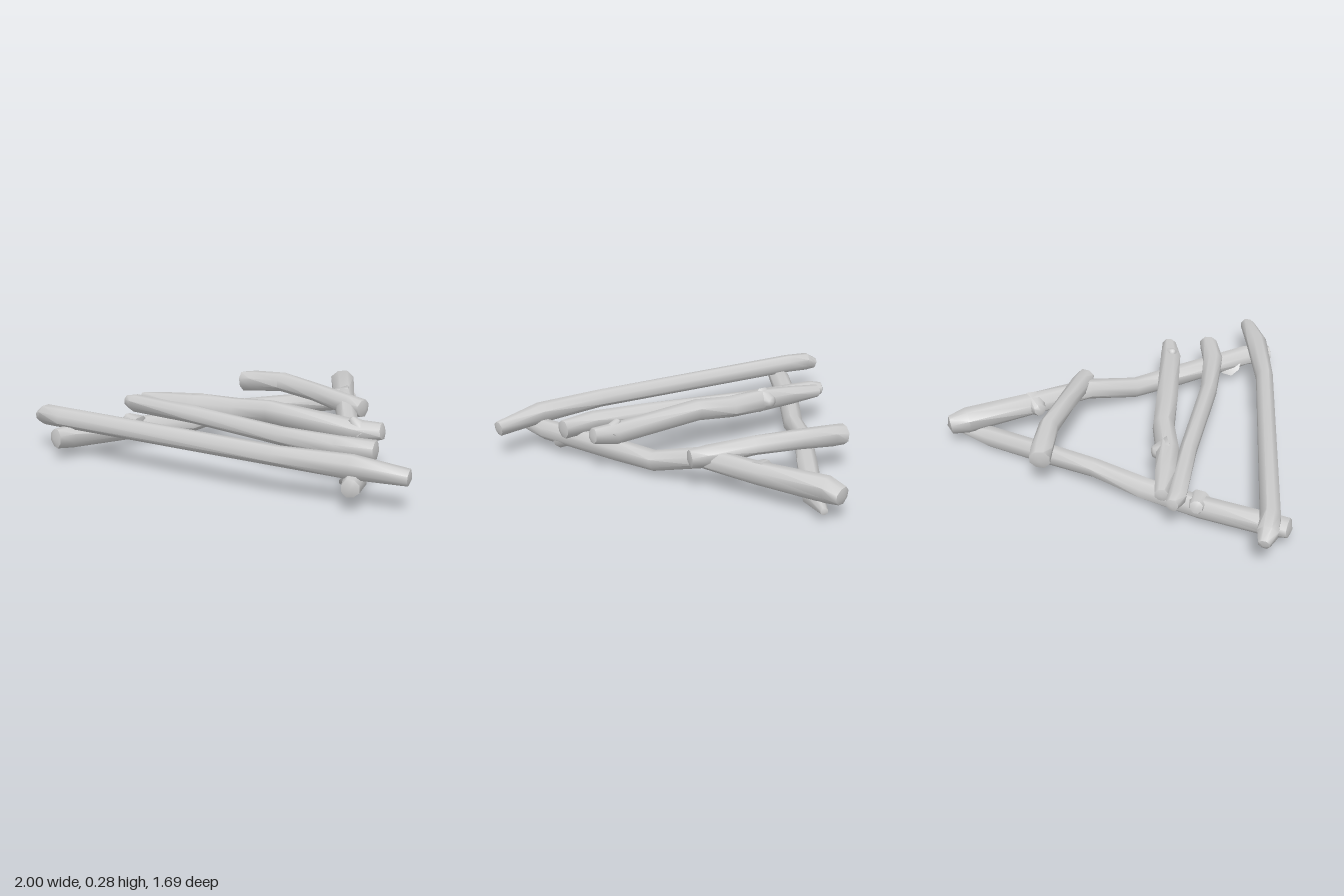
import * as THREE from 'three';
import { toCreasedNormals } from 'three/addons/utils/BufferGeometryUtils.js';

const SIDES = 8;

// Skin a branch with rings and blunt tips; each point is [x, y, z, radius]
function branchGeometry(points) {
  const centres = points.map(([x, y, z]) => new THREE.Vector3(x, y, z));
  const end = centres.length - 1;
  const tips = [centres[0].clone(), centres[end].clone()];
  const positions = [];
  const index = [];
  centres.forEach((c, i) => {
    const along = centres[Math.min(i + 1, end)].clone().sub(centres[Math.max(i - 1, 0)]).normalize();
    const side = along.clone().cross(new THREE.Vector3(0, 1, 0)).normalize();
    const lift = side.clone().cross(along);
    // Pull the end rings in so the tips finish at the given points
    const inset = i === 0 ? 0.35 : i === end ? -0.35 : 0;
    const middle = c.clone().addScaledVector(along, inset * points[i][3]);
    for (let j = 0; j < SIDES; j++) {
      const a = ((j + 0.5) / SIDES) * Math.PI * 2;
      const r = points[i][3] * (1.06 + 0.05 * Math.sin(j * 2.3 + i * 1.7));
      const p = middle.clone().addScaledVector(side, Math.cos(a) * r).addScaledVector(lift, Math.sin(a) * r);
      positions.push(p.x, p.y, p.z);
    }
  });
  for (const tip of tips) positions.push(tip.x, tip.y, tip.z);

  const last = end * SIDES;
  const startTip = last + SIDES;
  for (let j = 0; j < SIDES; j++) {
    const k = (j + 1) % SIDES;
    for (let ring = 0; ring < last; ring += SIDES) {
      const a = ring + j;
      const b = ring + k;
      index.push(a, a + SIDES, b, b, a + SIDES, b + SIDES);
    }
    index.push(startTip, j, k, startTip + 1, last + k, last + j);
  }
  const geometry = new THREE.BufferGeometry();
  geometry.setAttribute('position', new THREE.Float32BufferAttribute(positions, 3));
  geometry.setIndex(index);
  return toCreasedNormals(geometry, 0.9);
}

export function createModel() {
  const model = new THREE.Group();
  model.name = 'dragSled';
  const wood = new THREE.MeshStandardMaterial({ color: 0xcccccc });
  wood.name = 'paleGreyWood';

  const branches = {
    // Two long poles meeting at the back
    rightPole: [
      [-0.805, 0.11, 0.84, 0.045], [-0.77, 0.105, 0.75, 0.053], [-0.62, 0.085, 0.42, 0.053],
      [-0.47, 0.068, 0.16, 0.05], [-0.36, 0.10, -0.08, 0.045], [-0.20, 0.075, -0.35, 0.05],
      [-0.04, 0.05, -0.63, 0.05], [0.02, 0.055, -0.80, 0.018],
    ],
    leftPole: [
      [-0.06, 0.125, -0.845, 0.045], [-0.03, 0.14, -0.75, 0.062], [0.14, 0.14, -0.42, 0.054],
      [0.28, 0.15, -0.15, 0.05], [0.42, 0.08, 0.09, 0.05], [0.52, 0.09, 0.30, 0.053],
      [0.73, 0.11, 0.70, 0.05], [0.77, 0.11, 0.84, 0.04],
    ],
    // Crossbars laid over the poles, front to back
    frontBar: [
      [-1.0, 0.165, 0.695, 0.027], [-0.94, 0.185, 0.715, 0.047], [-0.82, 0.187, 0.735, 0.047],
      [0.38, 0.187, 0.78, 0.044], [0.74, 0.185, 0.755, 0.052], [1.0, 0.16, 0.715, 0.036],
    ],
    secondBar: [
      [-0.755, 0.18, 0.29, 0.03], [-0.69, 0.18, 0.315, 0.043], [-0.30, 0.18, 0.37, 0.041],
      [0.25, 0.18, 0.48, 0.042], [0.55, 0.18, 0.51, 0.05], [0.745, 0.18, 0.485, 0.045],
    ],
    thirdBar: [
      [-0.695, 0.19, 0.245, 0.032], [-0.52, 0.195, 0.26, 0.046], [-0.34, 0.20, 0.27, 0.056],
      [-0.13, 0.205, 0.25, 0.053], [0.07, 0.223, 0.265, 0.053], [0.54, 0.19, 0.28, 0.052],
      [0.68, 0.205, 0.27, 0.038],
    ],
    backBar: [
      [-0.445, 0.185, -0.34, 0.05], [-0.36, 0.195, -0.335, 0.052], [-0.18, 0.21, -0.32, 0.048],
      [0.05, 0.20, -0.255, 0.045], [0.28, 0.175, -0.19, 0.05], [0.38, 0.17, -0.165, 0.044],
    ],
    // Broken-off twigs
    leftPoleFrontStub: [[0.65, 0.11, 0.60, 0.065], [0.72, 0.045, 0.62, 0.025]],
    leftPoleBackStub: [[0.17, 0.14, -0.44, 0.06], [0.055, 0.15, -0.38, 0.03]],
    rightPoleStub: [[-0.58, 0.09, 0.43, 0.055], [-0.69, 0.125, 0.405, 0.03]],
    thirdBarStub: [[-0.335, 0.20, 0.29, 0.065], [-0.36, 0.205, 0.19, 0.025]],
    thirdBarEndStub: [[0.58, 0.18, 0.275, 0.05], [0.51, 0.255, 0.29, 0.015]],
  };

  for (const [name, points] of Object.entries(branches)) {
    const mesh = new THREE.Mesh(branchGeometry(points), wood);
    mesh.name = name;
    model.add(mesh);
  }
  return model;
}
